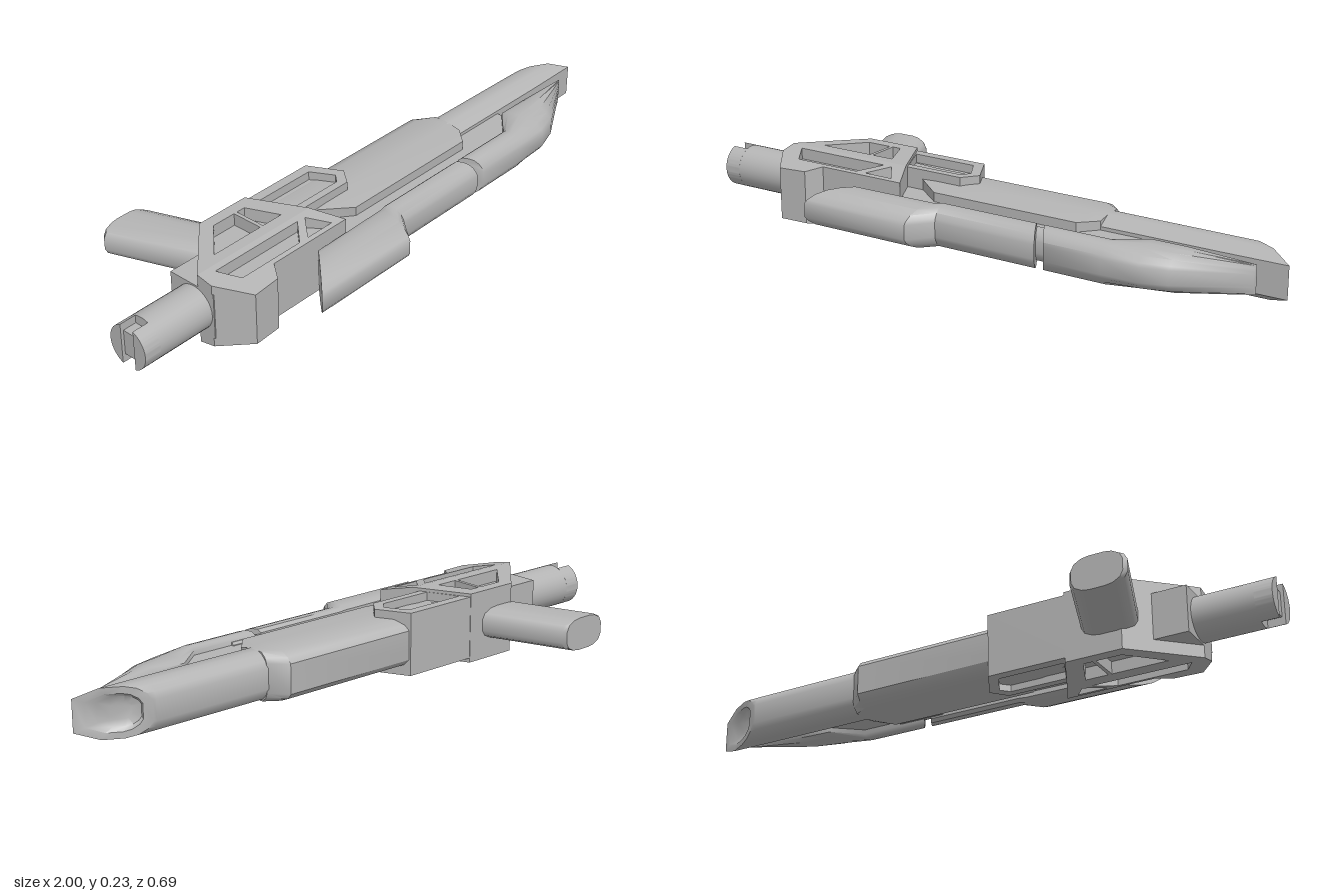
import * as THREE from 'three';
import { toCreasedNormals } from 'three/addons/utils/BufferGeometryUtils.js';

const CY = 0.115; // mid height of the whole model

// Cross-sections as [across 0..1, height -1..1]
const mirrorProfile = (top) => [...top, ...top.slice().reverse().map(([t, v]) => [t, -v])];
const OCT = mirrorProfile([[0, 0.42], [0.07, 0.68], [0.2, 0.9], [0.36, 1], [0.66, 1], [1, 0.66]]);
const ROUND_SIDE = mirrorProfile([[0, 0.6], [0.06, 0.82], [0.2, 1], [0.6, 1], [1, 0.88]]);
const BARREL = mirrorProfile([[0, 0.85], [0.15, 1], [0.4, 1], [0.62, 0.93], [0.82, 0.75], [0.95, 0.52], [1, 0.35]]);
const GRIP = mirrorProfile([[0, 0.35], [0.06, 0.7], [0.2, 0.93], [0.35, 1], [0.65, 1], [0.8, 0.93], [0.94, 0.7], [1, 0.35]]);

export function createModel() {
  const grey = new THREE.MeshStandardMaterial({ color: 0xb4b4b4 });
  grey.name = 'grey';
  const model = new THREE.Group();

  const add = (name, geometry) => {
    const mesh = new THREE.Mesh(geometry, grey);
    mesh.name = name;
    model.add(mesh);
    return mesh;
  };

  // Loft through sections [xa, xb, za, zb, halfHeight]; each may be slanted in plan
  const loft = (name, profile, sections, crease = 0.6) => {
    const n = profile.length, pos = [], idx = [];
    for (const [xa, xb, za, zb, h] of sections) {
      for (const [t, v] of profile) pos.push(xa + (xb - xa) * t, CY + h * v, za + (zb - za) * t);
    }
    for (let s = 0; s < sections.length - 1; s++) {
      for (let i = 0; i < n; i++) {
        const a = s * n + i, b = s * n + (i + 1) % n;
        idx.push(a, b, b + n, a, b + n, a + n);
      }
    }
    const last = (sections.length - 1) * n;
    for (let i = 1; i < n - 1; i++) idx.push(0, i + 1, i, last, last + i, last + i + 1);
    // Turn the faces outward if the enclosed volume is negative
    const p = (i) => new THREE.Vector3().fromArray(pos, i * 3);
    let volume = 0;
    for (let i = 0; i < idx.length; i += 3) volume += p(idx[i]).dot(p(idx[i + 1]).cross(p(idx[i + 2])));
    if (volume < 0) idx.reverse();
    const g = new THREE.BufferGeometry();
    g.setAttribute('position', new THREE.Float32BufferAttribute(pos, 3));
    g.setIndex(idx);
    return add(name, toCreasedNormals(g, crease));
  };

  // Upright slab from a plan outline of [x, z] points; holes run the opposite way round
  const slab = (name, outline, y0, y1, holes = [], rule = null) => {
    const v = (pts) => pts.map(([x, z]) => new THREE.Vector2(x, -z));
    const shape = new THREE.Shape(v(outline));
    holes.forEach((h) => shape.holes.push(new THREE.Path(v(h).reverse())));
    const g = new THREE.ExtrudeGeometry(shape, { depth: y1 - y0, bevelEnabled: false });
    g.rotateX(-Math.PI / 2).translate(0, y0, 0);
    if (rule) {
      const a = g.attributes.position;
      for (let i = 0; i < a.count; i++) a.setY(i, rule(a.getY(i), a.getZ(i)));
      g.computeVertexNormals();
    }
    return add(name, g);
  };

  // Upper barrel: broad rear, slim front, slanted hollow muzzle
  loft('upperBarrelRear', ROUND_SIDE, [
    [-0.45, -0.25, -0.07, 0.08, 0.079], [-0.3, -0.155, -0.073, 0.155, 0.079],
    [0.35, 0.35, -0.07, 0.155, 0.079], [0.4, 0.4, -0.02, 0.1, 0.077],
  ]);
  loft('upperBarrelFront', OCT, [
    [0.3, 0.3, -0.025, 0.1, 0.077], [0.79, 0.79, -0.018, 0.1, 0.077],
    [0.8, 0.995, -0.015, 0.097, 0.077], [0.825, 0.965, 0.0, 0.08, 0.057],
    [0.822, 0.93, 0.012, 0.074, 0.045], [0.84, 0.895, 0.03, 0.06, 0.025],
  ]);

  // Lower barrel: stepped rear, gap with a link, tapering front
  loft('lowerBarrelRear', BARREL, [
    [-0.38, -0.51, 0.21, 0.345, 0.065], [-0.1, -0.13, 0.205, 0.345, 0.065],
    [-0.08, -0.07, 0.2, 0.272, 0.065], [0.245, 0.28, 0.2, 0.272, 0.065],
  ]);
  loft('lowerBarrelLink', BARREL, [[0.2, 0.2, 0.19, 0.235, 0.05], [0.36, 0.36, 0.19, 0.235, 0.05]]);
  loft('lowerBarrelFront', BARREL, [
    [0.27, 0.31, 0.2, 0.272, 0.065], [0.5, 0.5, 0.2, 0.272, 0.065],
    [0.59, 0.62, 0.125, 0.27, 0.065], [0.7, 0.7, 0.123, 0.245, 0.063],
    [0.91, 0.905, 0.12, 0.126, 0.045],
  ], 1.1);

  // Recessed plate joining the barrels
  slab('barrelBridge', [[-0.33, 0.08], [0.6, 0.08], [0.6, 0.13], [0.51, 0.22], [-0.33, 0.22]], 0.075, 0.155);

  // Receiver frame with open windows, full height above and tapering below
  slab('frameUpper', [[-0.75, 0.1], [-0.57, -0.078], [-0.385, -0.078], [-0.3, 0.1]], 0, 0.23, [
    [[-0.65, 0.065], [-0.55, -0.04], [-0.467, -0.04], [-0.467, 0.065]],
    [[-0.455, 0.065], [-0.455, -0.04], [-0.425, -0.04], [-0.38, 0.065]],
  ]);
  slab('frameLower',
    [[-0.75, 0.1], [-0.3, 0.1], [-0.25, 0.2], [-0.55, 0.2], [-0.585, 0.248], [-0.68, 0.255], [-0.75, 0.155]],
    0, 0.23, [
      [[-0.395, 0.185], [-0.34, 0.122], [-0.295, 0.185]],
      [[-0.7, 0.12], [-0.37, 0.12], [-0.43, 0.185], [-0.66, 0.185]],
    ],
    (y, z) => CY + Math.sign(y - CY) * (0.115 - 0.2 * (z - 0.1)));
  slab('frameCore',
    [[-0.72, 0.1], [-0.56, -0.06], [-0.4, -0.06], [-0.28, 0.19], [-0.6, 0.195], [-0.67, 0.22], [-0.72, 0.15]],
    0.04, 0.19);

  // Raised collar around the barrel, with a recessed floor
  slab('collar', [[-0.42, -0.077], [-0.125, -0.077], [-0.07, 0.03], [-0.11, 0.08], [-0.32, 0.08]], 0.015, 0.22, [
    [[-0.365, -0.045], [-0.145, -0.045], [-0.105, 0.028], [-0.13, 0.055], [-0.32, 0.055]],
  ]);
  slab('collarFloor', [[-0.41, -0.07], [-0.13, -0.07], [-0.08, 0.03], [-0.115, 0.075], [-0.32, 0.075]], 0.038, 0.192);

  // Grip
  loft('grip', GRIP, [
    [-0.705, -0.545, -0.347, -0.347, 0.053], [-0.715, -0.535, -0.335, -0.335, 0.053],
    [-0.61, -0.43, -0.05, -0.05, 0.053], [-0.595, -0.41, 0, 0, 0.053],
  ]);

  // Rear stem with a slotted end
  slab('stemBlock', [[-0.75, -0.01], [-0.6, -0.01], [-0.6, 0.16], [-0.75, 0.16]], 0.04, 0.19);
  const R = 0.07, SZ = 0.083;
  const stem = new THREE.CylinderGeometry(R, R, 0.26, 32).rotateZ(Math.PI / 2);
  add('stem', stem).position.set(-0.815, CY, SZ);
  add('stemSlotWeb', new THREE.BoxGeometry(0.05, 0.08, 0.06)).position.set(-0.965, CY, SZ);
  for (const mid of [0, Math.PI]) {
    const half = new THREE.Shape();
    const a = Math.acos(0.025 / R);
    half.absarc(0, 0, R, mid - a, mid + a, false);
    const g = new THREE.ExtrudeGeometry(half, { depth: 0.056, bevelEnabled: false, curveSegments: 20 });
    g.rotateY(-Math.PI / 2);
    add('stemProng', toCreasedNormals(g, 0.6)).position.set(-0.944, CY, SZ);
  }

  return model;
}
